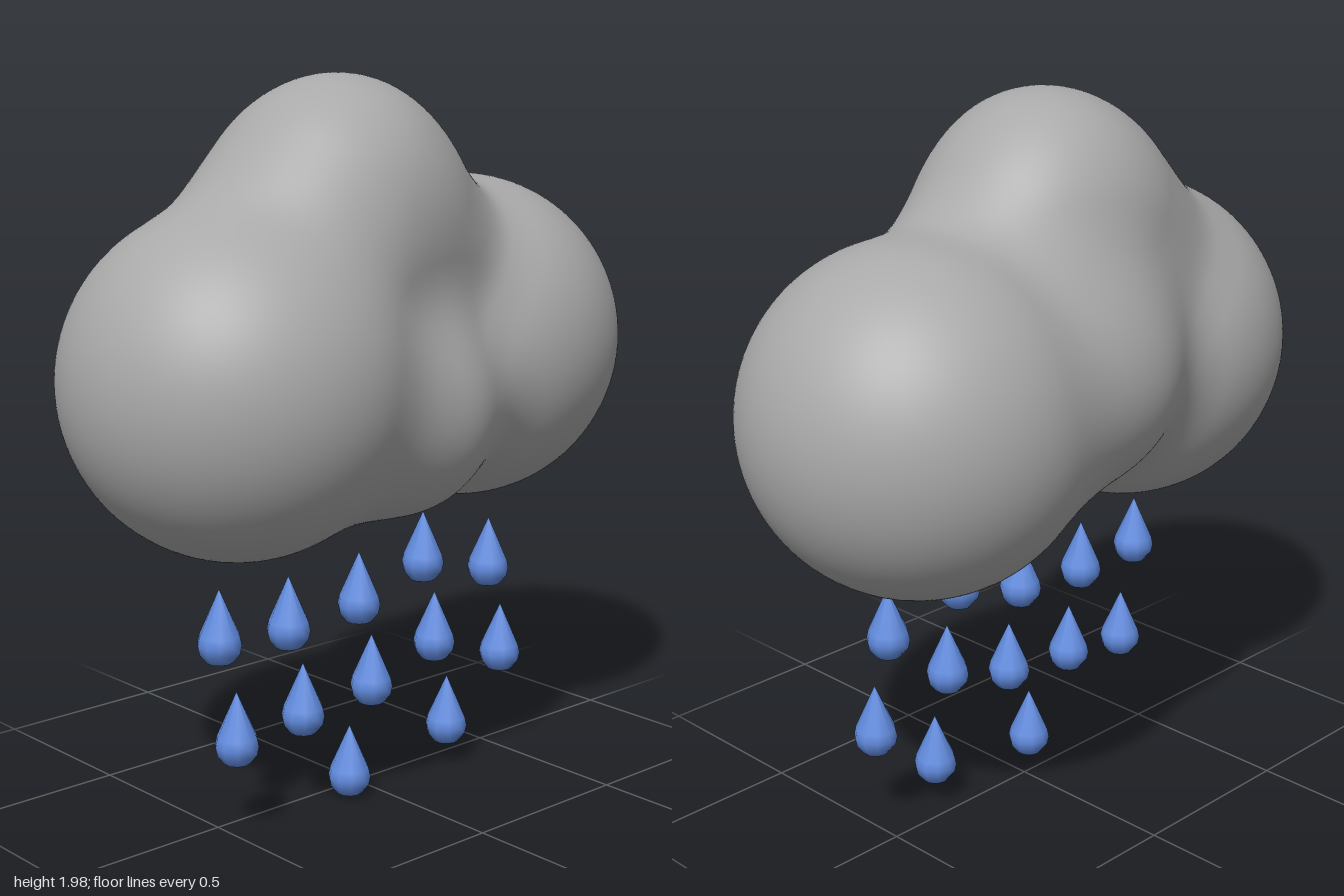
import * as THREE from 'three';
import { mergeVertices } from 'three/addons/utils/BufferGeometryUtils.js';

// Puffs of the cloud: x, y, z, radius
const PUFFS = [
  [-0.465, 1.22, 0.062, 0.46],  // left end
  [0.455, 1.228, -0.073, 0.463], // right end
  [-0.08, 1.66, 0.01, 0.325],   // crown
  [-0.21, 1.53, 0.03, 0.305],   // crown shoulder
  [0.07, 1.5, -0.01, 0.29],     // crown shoulder
  [-0.03, 1.11, 0.15, 0.295],   // front belly
  [0.03, 1.28, -0.16, 0.32],    // back
];
const BLEND = 0.16;

// Distance to the smoothly blended puffs
function cloudDistance(p) {
  let d = 10;
  for (const [x, y, z, r] of PUFFS) {
    const e = Math.hypot(p.x - x, p.y - y, p.z - z) - r;
    const h = Math.max(BLEND - Math.abs(d - e), 0);
    d = Math.min(d, e) - (h * h) / (4 * BLEND);
  }
  return d;
}

// Shrink-wrap a fine ball onto the blended puffs
function cloudGeometry() {
  const ball = new THREE.IcosahedronGeometry(1, 40);
  ball.deleteAttribute('normal');
  ball.deleteAttribute('uv');
  const geometry = mergeVertices(ball, 1e-5);
  const pos = geometry.attributes.position;
  const centre = new THREE.Vector3(0, 1.28, 0);
  const dir = new THREE.Vector3();
  const p = new THREE.Vector3();
  for (let i = 0; i < pos.count; i++) {
    dir.fromBufferAttribute(pos, i).normalize();
    let t = 1.4;
    for (let step = 0; step < 120; step++) {
      p.copy(centre).addScaledVector(dir, t);
      const d = cloudDistance(p);
      if (d < 1e-4) break;
      t -= d;
    }
    pos.setXYZ(i, p.x, p.y, p.z);
  }
  geometry.computeVertexNormals();
  return geometry;
}

// Raindrop tips in the x-y plane
const DROPS = [
  [-0.54, 0.69], [-0.307, 0.68], [-0.055, 0.7], [0.187, 0.773], [0.45, 0.71],
  [-0.487, 0.4], [-0.258, 0.428], [-0.008, 0.455], [0.234, 0.53], [0.504, 0.44],
  [-0.09, 0.21], [0.286, 0.268],
];

export function createModel() {
  const model = new THREE.Group();
  model.name = 'rainCloud';

  const cloudGrey = new THREE.MeshStandardMaterial({ color: 0xa9a9a9 });
  cloudGrey.name = 'cloud grey';
  const rainBlue = new THREE.MeshStandardMaterial({ color: 0x618bde });
  rainBlue.name = 'rain blue';

  const cloud = new THREE.Mesh(cloudGeometry(), cloudGrey);
  cloud.name = 'cloud';
  model.add(cloud);

  // Teardrop profile, measured down from the tip
  const profile = [
    [0, -0.208], [0.035, -0.197], [0.055, -0.172], [0.06, -0.148],
    [0.055, -0.125], [0, 0],
  ].map(([r, y]) => new THREE.Vector2(r, y));
  const dropGeometry = new THREE.LatheGeometry(profile, 10);

  const rain = new THREE.Group();
  rain.name = 'rain';
  DROPS.forEach(([x, y], i) => {
    const drop = new THREE.Mesh(dropGeometry, rainBlue);
    drop.name = `raindrop${i + 1}`;
    drop.position.set(x, y, 0.07);
    rain.add(drop);
  });
  model.add(rain);
  return model;
}
